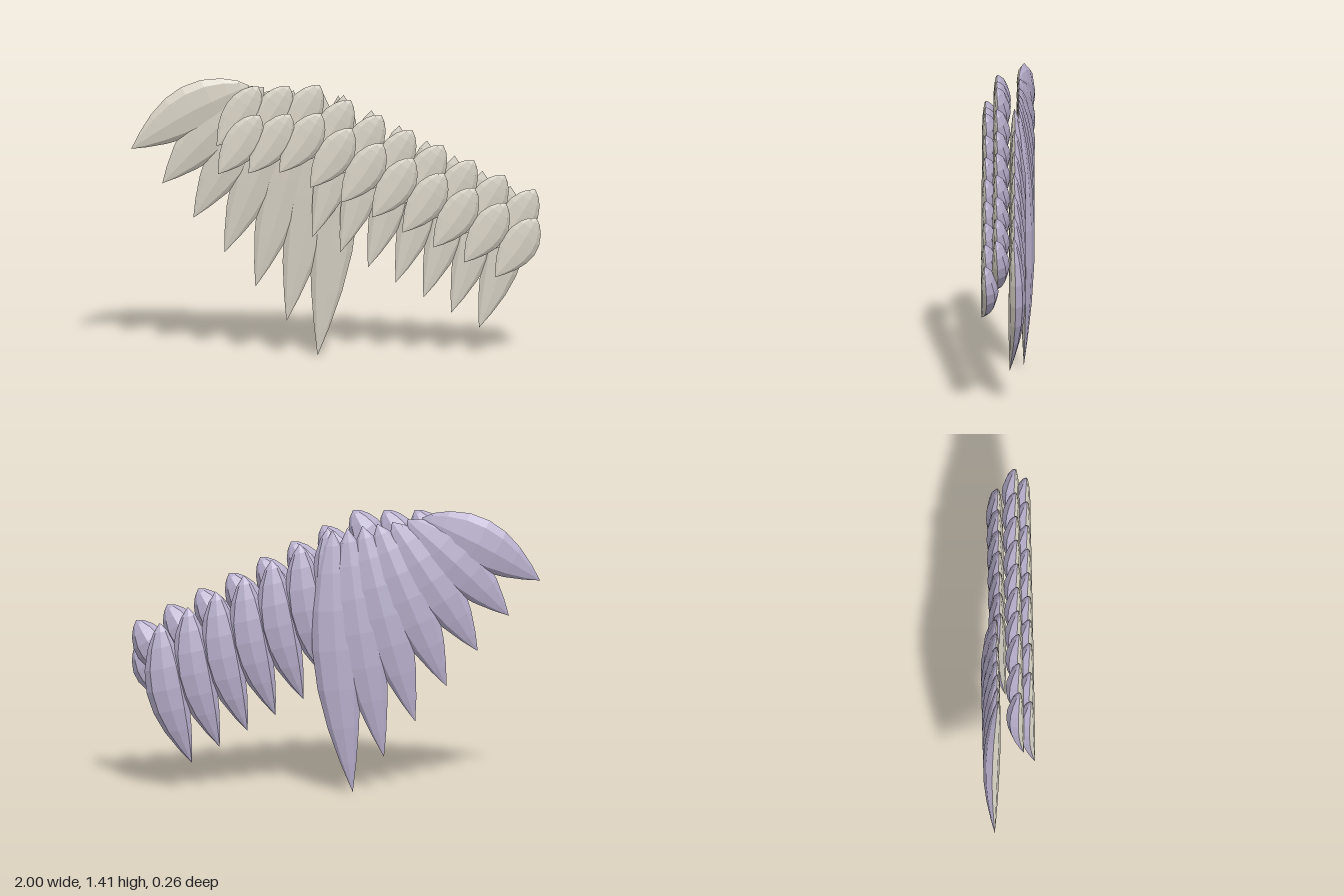
import * as THREE from 'three';

const frontMat = new THREE.MeshStandardMaterial({ color: 0xd3cdc0 });
frontMat.name = 'warm ivory';
const backMat = new THREE.MeshStandardMaterial({ color: 0xb7aecb });
backMat.name = 'pale lavender';

// Leaf outline: position along the feather, relative half width
const PROFILE = [[0, 0], [0.06, 0.36], [0.16, 0.68], [0.3, 0.93], [0.45, 1], [0.6, 0.91], [0.75, 0.67], [0.89, 0.33], [1, 0]];
const SIDES = 8;

// One faceted feather from base to tip; bend curves it sideways, bow curves it backwards
function feather(name, { base, tip, width, bend, bow, front, back }) {
  const dx = tip[0] - base[0], dy = tip[1] - base[1], len = Math.hypot(dx, dy);
  const px = -dy / len, py = dx / len;
  const point = (k, j) => {
    const [t, w] = PROFILE[k];
    const a = (j / SIDES) * Math.PI * 2, s = Math.sin(a), arc = Math.sin(Math.PI * t);
    const side = bend * arc + (width / 2) * w * Math.cos(a);
    const z = base[2] + (tip[2] - base[2]) * t - bow * arc + (s > 0 ? front : back) * w * s;
    return [base[0] + dx * t + px * side, base[1] + dy * t + py * side, z];
  };
  const pos = [], geo = new THREE.BufferGeometry();
  const last = PROFILE.length - 2;
  // Front half first, then back half, one material group each
  for (let half = 0; half < 2; half++) {
    const start = pos.length / 3;
    for (let j = half * SIDES / 2; j < (half + 1) * SIDES / 2; j++) {
      for (let k = 0; k <= last; k++) {
        const a0 = point(k, j), b0 = point(k, j + 1), a1 = point(k + 1, j), b1 = point(k + 1, j + 1);
        if (k > 0) pos.push(...a0, ...b0, ...a1);
        if (k < last) pos.push(...b0, ...b1, ...a1);
      }
    }
    geo.addGroup(start, pos.length / 3 - start, half);
  }
  geo.setAttribute('position', new THREE.Float32BufferAttribute(pos, 3));
  geo.computeVertexNormals();
  const mesh = new THREE.Mesh(geo, [frontMat, backMat]);
  mesh.name = name;
  return mesh;
}

function row(name, count, spec) {
  const group = new THREE.Group();
  group.name = name;
  for (let i = 0; i < count; i++) group.add(feather(name + 'Feather' + (i + 1), spec(i)));
  return group;
}

export function createModel() {
  const wing = new THREE.Group();
  wing.name = 'wing';
  const mix = THREE.MathUtils.lerp;

  // Long fanned flight feathers at the wing tip
  wing.add(row('primary', 7, (i) => {
    const t = i / 6;
    return {
      base: [mix(-0.42, 0.02, t), mix(1.37, 1.31, t), -0.05],
      tip: [mix(-1, -0.08, t), mix(1.06, 0, t), -0.076],
      width: mix(0.25, 0.23, t), bend: mix(-0.025, 0.03, t), bow: 0.022, front: 0.038, back: 0.045,
    };
  }));

  // Shorter flight feathers stepping down towards the root
  wing.add(row('secondary', 7, (i) => {
    const x = i * 0.137, y = -i * 0.079;
    return {
      base: [0.045 + x, 1.315 + y, -0.03], tip: [-0.112 + x, 0.61 + y, -0.01],
      width: 0.2, bend: 0.04, bow: 0.02, front: 0.035, back: 0.048,
    };
  }));

  // Two rows of short covering feathers: level for three, then sloping down
  const covert = (topY, z) => (i) => {
    const x = -0.386 + i * 0.152, y = topY - Math.max(0, i - 2) * 0.0785;
    return {
      base: [x, y, z - 0.015], tip: [x - 0.208, y - 0.29, z],
      width: 0.18, bend: 0.012, bow: 0.018, front: 0.028, back: 0.058,
    };
  };
  wing.add(row('upperCovert', 10, covert(1.387, 0.073)));
  wing.add(row('lowerCovert', 10, covert(1.257, 0.128)));
  return wing;
}
